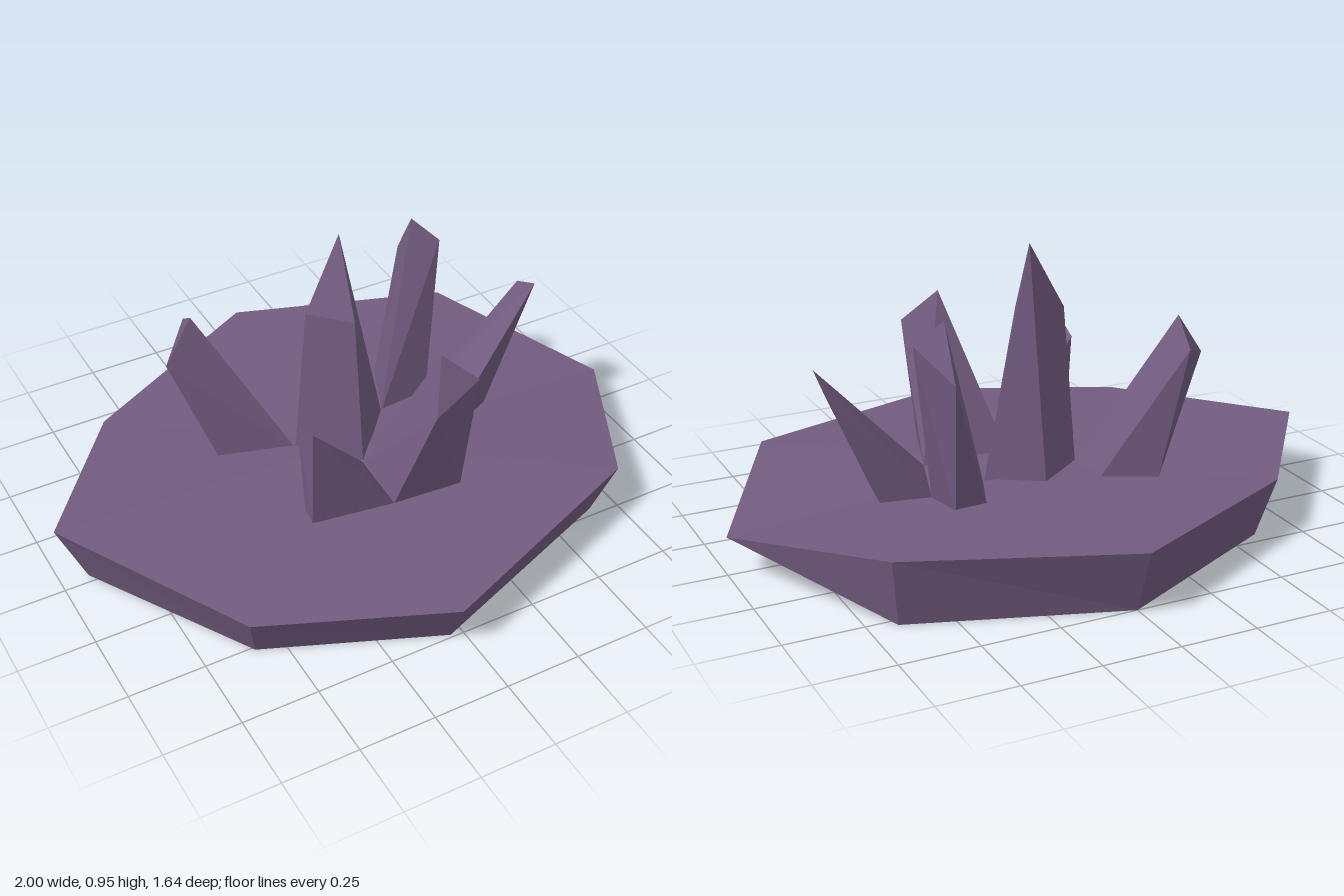
import * as THREE from 'three';
import { ConvexGeometry } from 'three/addons/geometries/ConvexGeometry.js';

const GROUND = 0.19; // height at which the crystals meet the slab

// Faceted rock slab: a top ring and a smaller bottom ring, each closed by a fan.
function slabGeometry() {
  const top = [
    [0, 0.21, -0.82], [0.69, 0.22, -0.57], [1, 0.13, -0.01], [0.71, 0.2, 0.53],
    [-0.05, 0.175, 0.82], [-0.63, 0.17, 0.57], [-1, 0.215, -0.04], [-0.65, 0.195, -0.49],
  ];
  const bottom = [
    [0, 0, -0.75], [0.66, 0, -0.53], [0.66, 0, -0.03], [0.66, 0, 0.47],
    [-0.04, 0, 0.74], [-0.59, 0, 0.51], [-0.91, 0, -0.03], [-0.6, 0, -0.45],
  ];
  const topCentre = [0, 0.2, 0], bottomCentre = [0, 0, 0];
  const positions = [];
  const face = (...corners) => corners.forEach((c) => positions.push(...c));
  for (let i = 0; i < top.length; i++) {
    const j = (i + 1) % top.length;
    face(topCentre, top[j], top[i]);
    face(bottomCentre, bottom[i], bottom[j]);
    // split each wall so the low right corner keeps its crease lines
    if (i === 2) {
      face(top[i], top[j], bottom[j]);
      face(top[i], bottom[j], bottom[i]);
    } else {
      face(top[i], top[j], bottom[i]);
      face(top[j], bottom[j], bottom[i]);
    }
  }
  const geometry = new THREE.BufferGeometry();
  geometry.setAttribute('position', new THREE.Float32BufferAttribute(positions, 3));
  geometry.computeVertexNormals();
  return geometry;
}

// Crystal shard: foot corners [x, z] on the slab and peak points [x, y, z].
function crystalGeometry(feet, peaks) {
  return new ConvexGeometry([
    ...feet.map(([x, z]) => new THREE.Vector3(x, GROUND, z)),
    ...peaks.map((p) => new THREE.Vector3(...p)),
  ]);
}

export function createModel() {
  const model = new THREE.Group();
  model.name = 'crystalCluster';
  const purple = new THREE.MeshStandardMaterial({ color: 0x735c80, flatShading: true });
  purple.name = 'dusty purple';

  const add = (name, geometry) => {
    const mesh = new THREE.Mesh(geometry, purple);
    mesh.name = name;
    model.add(mesh);
  };

  add('rockSlab', slabGeometry());

  const crystals = {
    centreCrystal: [
      [[0.02, -0.2], [0.19, -0.1], [0.01, 0.1], [-0.15, -0.07]],
      [[0.03, 0.95, -0.1], [-0.11, 0.72, -0.06], [0.01, 0.71, 0.04]],
    ],
    frontCrystal: [
      [[0.01, 0.1], [0.3, 0.12], [0.23, 0.34], [0, 0.32]],
      [[0.16, 0.71, 0.31], [0.09, 0.56, 0.41], [0.27, 0.61, 0.36]],
    ],
    backRightCrystal: [
      [[-0.15, -0.07], [-0.15, -0.23], [-0.32, -0.31], [-0.39, -0.14]],
      [[-0.42, 0.7, -0.24], [-0.4, 0.62, -0.35], [-0.52, 0.56, -0.22]],
    ],
    backLeftCrystal: [
      [[0.19, -0.1], [0.26, -0.28], [0.37, -0.29], [0.38, -0.13]],
      [[0.39, 0.8, -0.27], [0.4, 0.63, -0.37], [0.47, 0.72, -0.22]],
    ],
    leftCrystal: [
      [[0.38, -0.13], [0.3, 0.12], [0.52, 0.02], [0.54, -0.1]],
      [[0.7, 0.61, 0.01], [0.7, 0.56, -0.09]],
    ],
    frontRightCrystal: [
      [[0.01, 0.1], [0, 0.32], [-0.27, 0.28], [-0.26, 0.21]],
      [[-0.28, 0.57, 0.31], [-0.28, 0.52, 0.21]],
    ],
  };
  for (const [name, [feet, peaks]] of Object.entries(crystals)) {
    add(name, crystalGeometry(feet, peaks));
  }
  return model;
}
